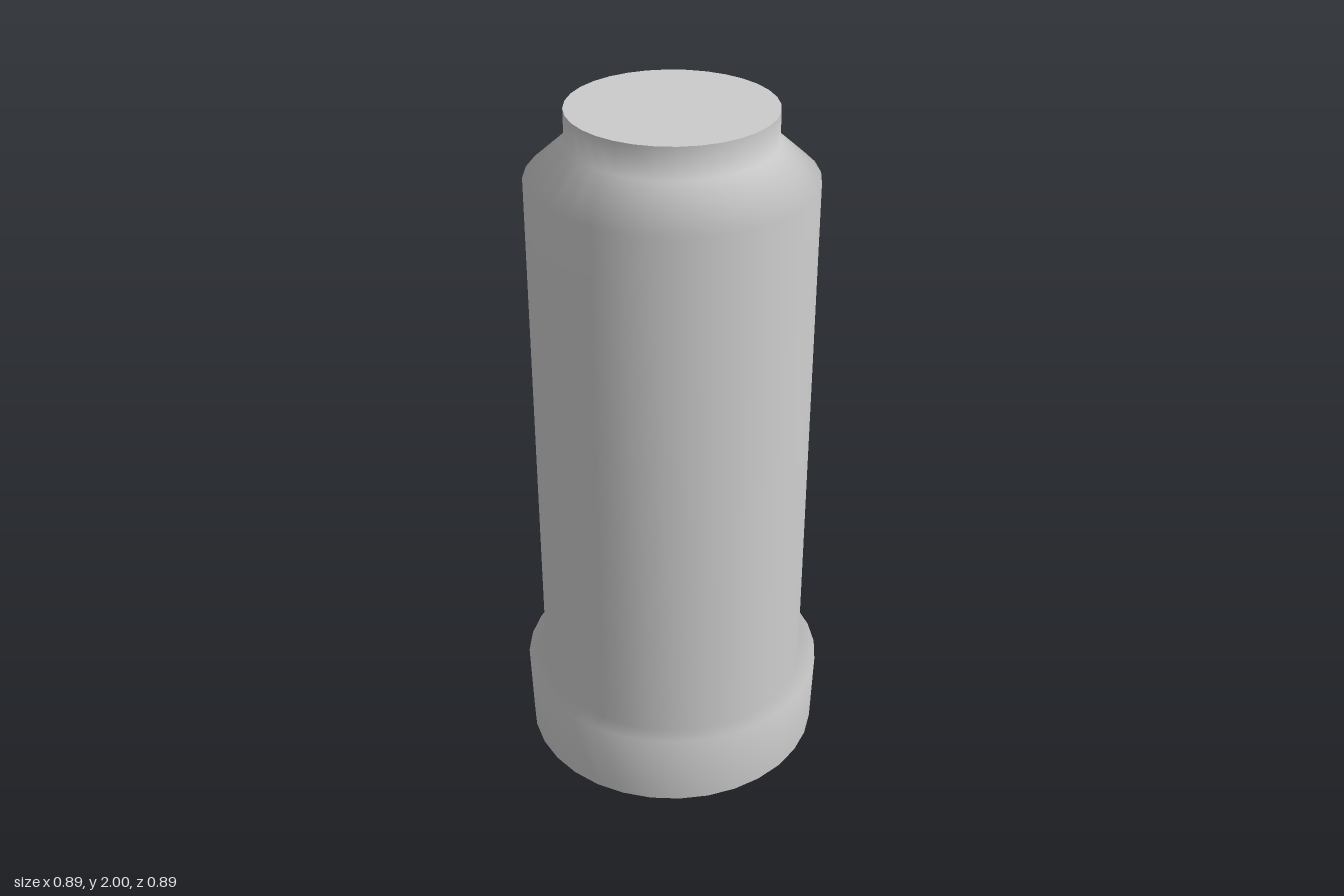
import * as THREE from 'three';

const SIDES = 32;

export function createModel() {
  const group = new THREE.Group();
  const material = new THREE.MeshStandardMaterial({ color: 0xcccccc });

  const add = (name, geometry) => {
    const mesh = new THREE.Mesh(geometry, material);
    mesh.name = name;
    group.add(mesh);
    return mesh;
  };

  // Outer wall, bottom to top: flared foot, ledge, barrel, shoulder, neck
  const profile = [
    [0.44, 0], [0.447, 0.23],
    [0.395, 0.23], [0.395, 1.81],
    [0.283, 1.91], [0.283, 2],
  ].map(([r, y]) => new THREE.Vector2(r, y));
  add('body', new THREE.LatheGeometry(profile, SIDES));

  // Flat end discs, kept separate so their rims stay sharp
  const addCap = (name, radius, y, tilt) => {
    const cap = add(name, new THREE.CircleGeometry(radius, SIDES));
    cap.rotation.x = tilt;
    cap.position.y = y;
  };
  addCap('topCap', 0.283, 2, -Math.PI / 2);
  addCap('bottomCap', 0.44, 0, Math.PI / 2);

  return group;
}
